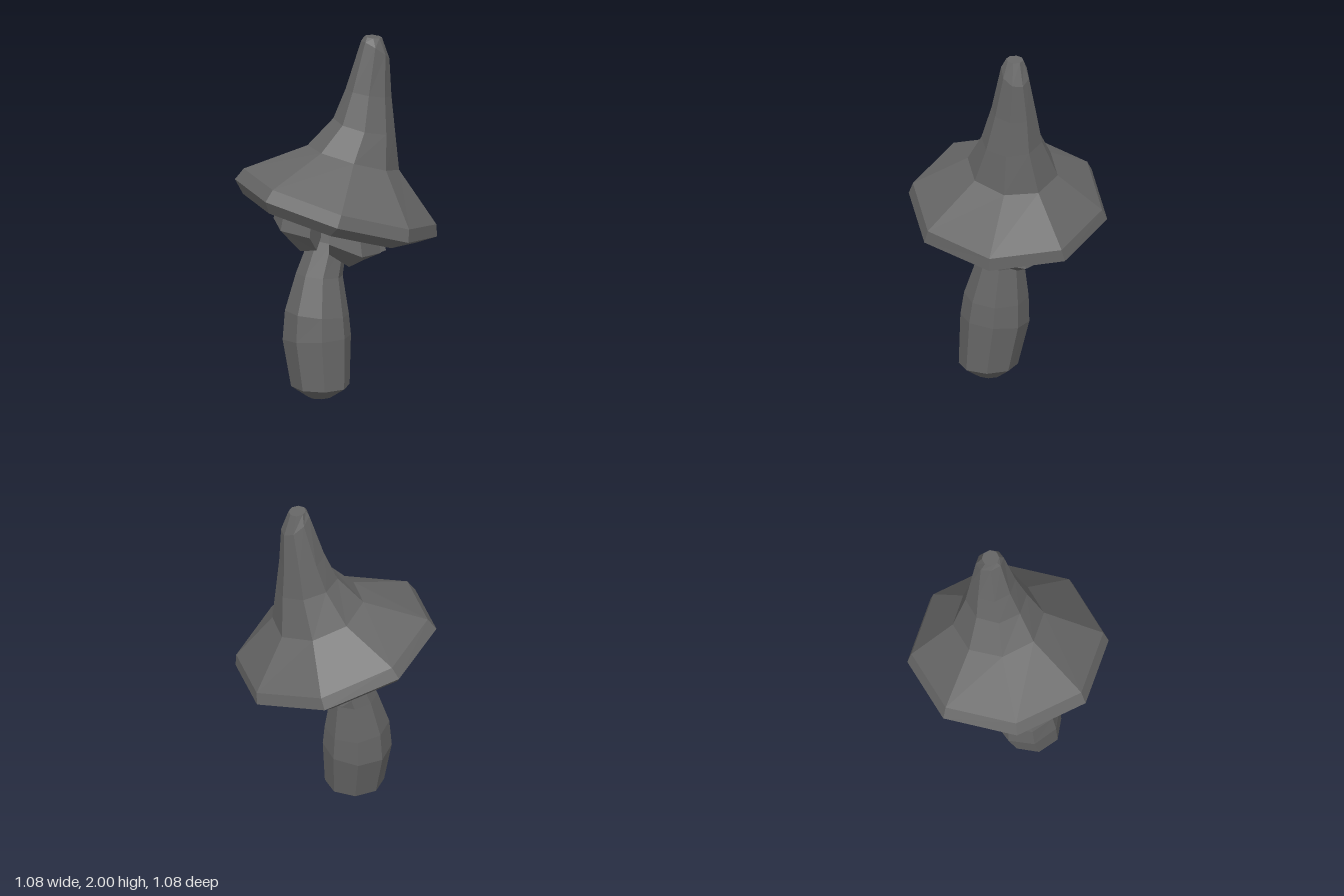
import * as THREE from 'three';

const DEG = Math.PI / 180;

// Faceted skin through a list of equal-length rings, closed with a fan at each end
function loft(rings, material, name) {
  const pos = [];
  const tri = (...pts) => pts.forEach((p) => pos.push(p.x, p.y, p.z));
  const n = rings[0].length;
  const centre = (ring) =>
    ring.reduce((s, p) => s.add(p), new THREE.Vector3()).divideScalar(n);
  const first = rings[0], last = rings[rings.length - 1];
  const c0 = centre(first), c1 = centre(last);
  for (let i = 0; i < n; i++) {
    const j = (i + 1) % n;
    tri(c0, first[i], first[j]);
    tri(c1, last[j], last[i]);
    for (let k = 0; k < rings.length - 1; k++) {
      const a = rings[k][i], b = rings[k][j], c = rings[k + 1][i], d = rings[k + 1][j];
      tri(a, c, b);
      tri(b, c, d);
    }
  }
  const geometry = new THREE.BufferGeometry();
  geometry.setAttribute('position', new THREE.Float32BufferAttribute(pos, 3));
  geometry.computeVertexNormals();
  const mesh = new THREE.Mesh(geometry, material);
  mesh.name = name;
  return mesh;
}

// Eight-sided ring, sheared by slopes along x and z
function tiltedRing([cx, cy, cz, r, sx = 0, sz = 0], startDeg) {
  return Array.from({ length: 8 }, (_, i) => {
    const a = (startDeg + i * 45) * DEG;
    const x = r * Math.cos(a), z = r * Math.sin(a);
    return new THREE.Vector3(cx + x, cy + sx * x + sz * z, cz + z);
  });
}

export function createModel() {
  const model = new THREE.Group();
  model.name = 'mushroom';
  const grey = new THREE.MeshStandardMaterial({ color: 0x666666 });
  grey.name = 'dark grey';

  // Tilted pointed cap: x, y, z, radius, slope x, slope z
  const capRings = [
    [-0.04, 1.02, -0.01, 0.2, -0.29, -0.095],
    [-0.04, 0.985, -0.005, 0.475, -0.29, -0.095],
    [0, 1.04, 0, 0.556, -0.29, -0.095],
    [0.02, 1.105, 0.01, 0.53, -0.3, -0.09],
    [0.105, 1.315, 0.01, 0.252, -0.31, -0.03],
    [0.16, 1.5, 0.035, 0.17, -0.2, -0.1],
    [0.19, 1.68, 0.032, 0.126, -0.2, 0],
    [0.228, 1.92, 0.04, 0.078, -0.75, 0],
    [0.217, 1.995, 0.037, 0.048, -0.1, 0],
  ];
  model.add(loft(capRings.map((r) => tiltedRing(r, -14.6)), grey, 'cap'));

  // Bulging, leaning stem
  const stemRings = [
    [-0.14, 0, 0.06, 0.068],
    [-0.14, 0.065, 0.065, 0.163],
    [-0.14, 0.33, 0.027, 0.19, 0, 0.1],
    [-0.135, 0.47, 0.02, 0.178, -0.1, 0],
    [-0.11, 0.68, 0.005, 0.13, -0.1, 0],
    [-0.05, 0.86, 0, 0.105, -0.2, 0],
    [0, 1.1, 0, 0.09, -0.3, 0],
  ];
  model.add(loft(stemRings.map((r) => tiltedRing(r, 22.5)), grey, 'stem'));

  // Broken collar of chunky lumps hanging under the cap
  const section = [[0.3, 0.05], [0.335, -0.11], [0.2, -0.21], [0.11, -0.12], [0.13, 0.05]];
  function lump(from, to, steps, name) {
    const rings = [];
    for (let k = 0; k <= steps; k++) {
      const a = (from + ((to - from) * k) / steps) * DEG;
      const s = k === 0 || k === steps ? 0.78 : 1;
      rings.push(section.map(([r, d]) => {
        const rr = 0.22 + (r - 0.22) * s;
        const x = rr * Math.cos(a), z = rr * Math.sin(a);
        const y = 0.985 - 0.29 * x - 0.095 * z + (d > 0 ? d : d * s);
        return new THREE.Vector3(x - 0.04, y, z);
      }));
    }
    model.add(loft(rings, grey, name));
  }
  lump(56, 122, 2, 'frontLump');
  lump(142, 208, 2, 'rightLump');
  lump(-100, 34, 4, 'leftLump');

  return model;
}
